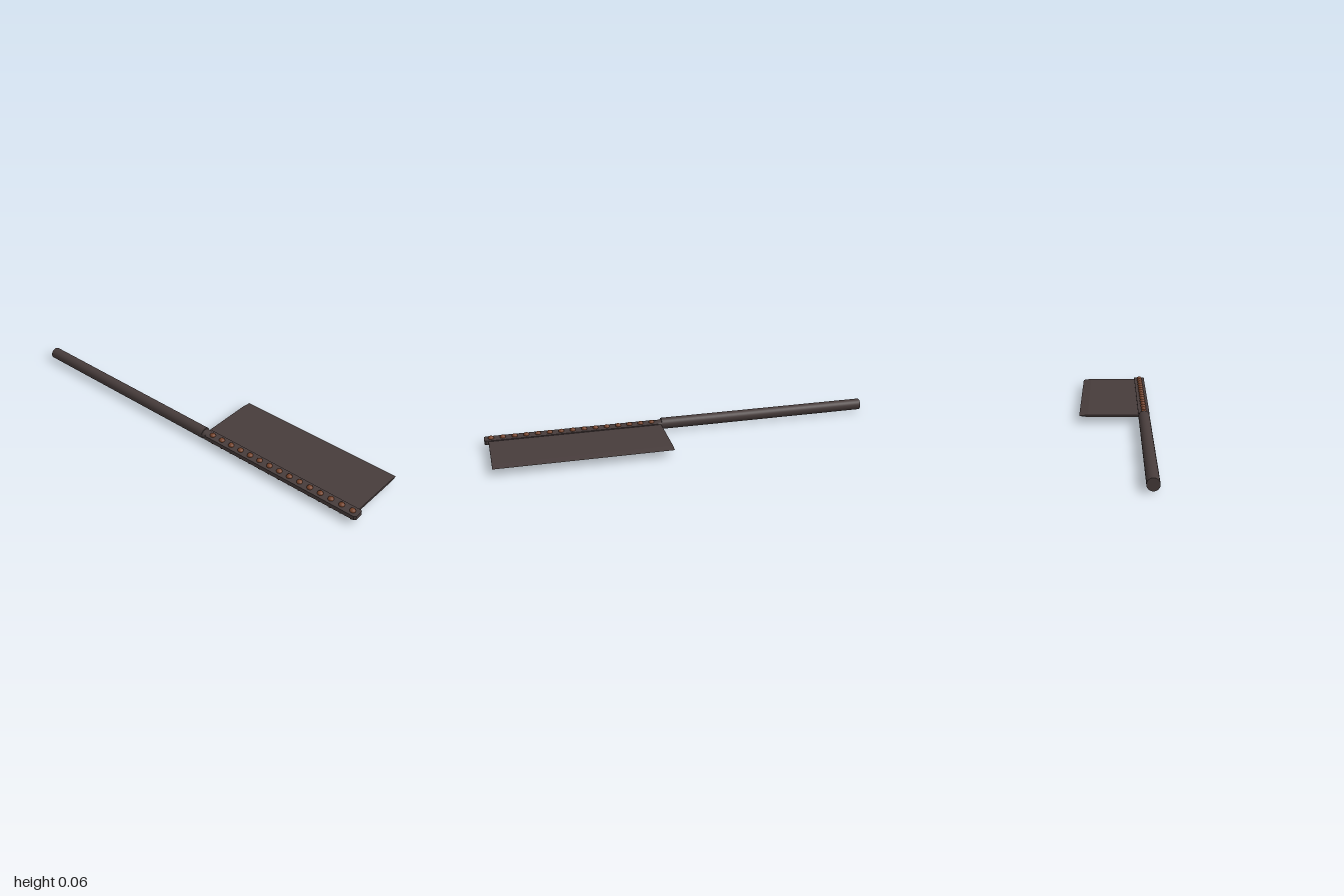
import * as THREE from 'three';

export function createModel() {
  const model = new THREE.Group();
  const steel = new THREE.MeshStandardMaterial({ color: 0x473c3b });
  steel.name = 'dark steel';
  const copper = new THREE.MeshStandardMaterial({ color: 0x74422a });
  copper.name = 'rusty copper';
  const X = -0.155, Y = 0.036;

  const add = (name, geometry, material, x, y, z, parent = model) => {
    const mesh = new THREE.Mesh(geometry, material);
    mesh.name = name;
    mesh.position.set(x, y, z);
    parent.add(mesh);
    return mesh;
  };

  // Round handle running to the back
  const handle = new THREE.CylinderGeometry(0.029, 0.029, 1.1, 32);
  handle.rotateX(Math.PI / 2);
  add('handle', handle, steel, X, Y, -0.45);

  // Neck: the round bar is squashed towards the flat spine
  const neck = new THREE.CylinderGeometry(0.028, 0.028, 0.06, 32, 4);
  neck.rotateX(Math.PI / 2);
  const p = neck.attributes.position;
  for (let i = 0; i < p.count; i++) {
    const t = (p.getZ(i) + 0.03) / 0.06;
    p.setY(i, p.getY(i) * (0.75 - 0.38 * t));
  }
  neck.computeVertexNormals();
  add('neck', neck, steel, X, Y, 0.13);

  // Flat spine with clipped front corners
  const w = 0.029, c = 0.008;
  const outline = new THREE.Shape([
    [-w, 0.12], [w, 0.12], [w, 1 - c], [w - c, 1], [c - w, 1], [-w, 1 - c],
  ].map(([x, z]) => new THREE.Vector2(x, -z)));
  const spine = new THREE.ExtrudeGeometry(outline, { depth: 0.021, bevelEnabled: false });
  spine.rotateX(-Math.PI / 2);
  add('spine', spine, steel, X, Y - 0.0105, 0);

  // Blade with a ground edge on its outer side
  const section = new THREE.Shape([
    [-0.145, -0.006], [0.135, -0.006], [0.18, 0], [0.135, 0.006], [-0.145, 0.006],
  ].map(([x, y]) => new THREE.Vector2(x, y)));
  const blade = new THREE.ExtrudeGeometry(section, { depth: 0.875, bevelEnabled: false });
  add('blade', blade, steel, 0, Y, 0.105);

  // Row of bolts: domed head above, nut and shank end below
  const head = new THREE.LatheGeometry([
    [0.0145, 0], [0.0145, 0.004], [0.012, 0.009], [0.006, 0.012], [0, 0.0125],
  ].map(([x, y]) => new THREE.Vector2(x, y)), 12);
  const nut = new THREE.CylinderGeometry(0.013, 0.013, 0.011, 6);
  const shank = new THREE.CylinderGeometry(0.007, 0.007, 0.026, 12);
  for (let i = 0; i < 15; i++) {
    const bolt = new THREE.Group();
    bolt.name = 'bolt' + (i + 1);
    bolt.position.set(X - 0.001, 0, 0.15 + i * 0.0583);
    add('boltHead', head, copper, 0, 0.0462, 0, bolt);
    add('nut', nut, copper, 0, 0.0205, 0, bolt);
    add('shank', shank, copper, 0, 0.013, 0, bolt);
    model.add(bolt);
  }
  return model;
}
